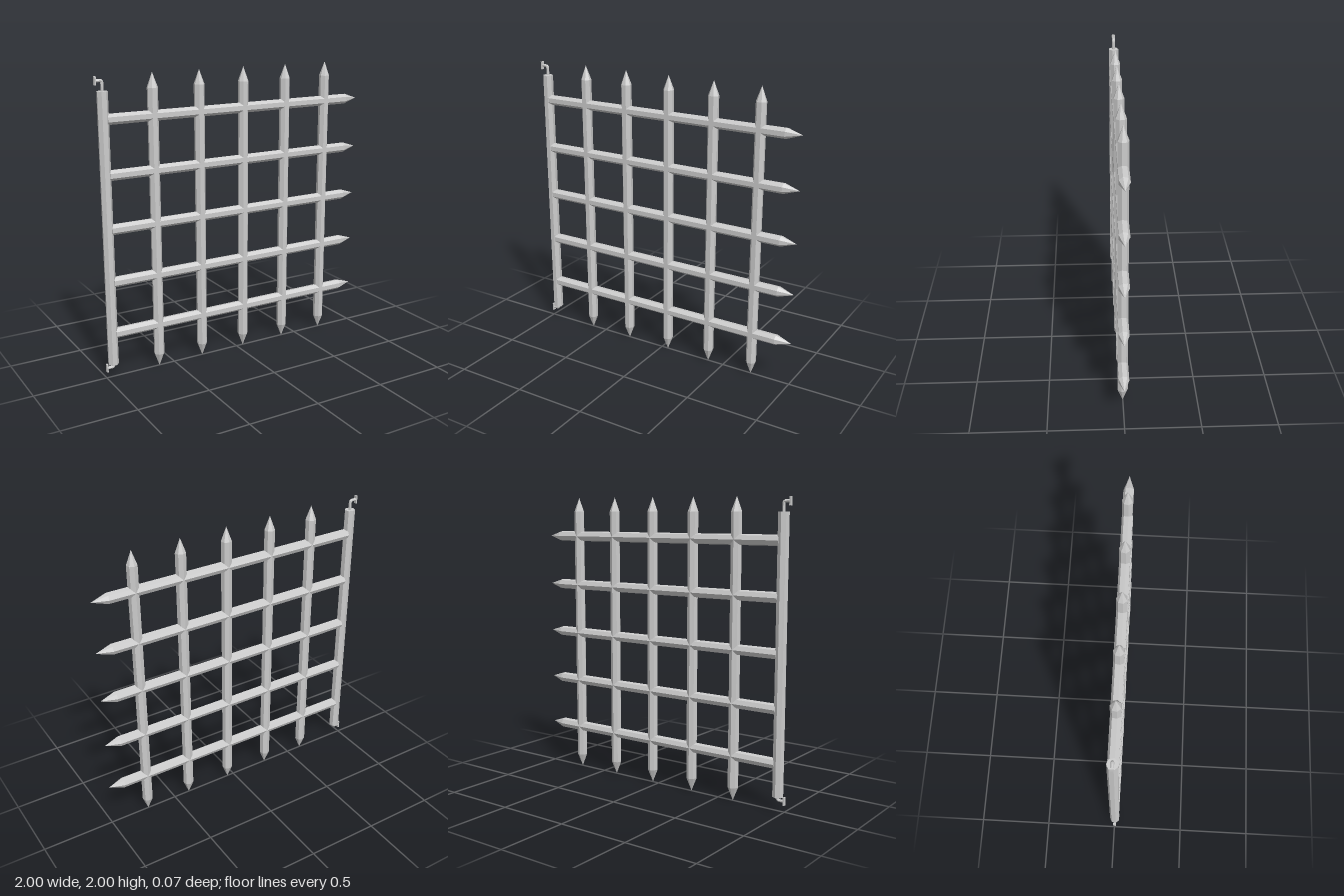
import * as THREE from 'three';

const SIDES = 7;
const R = 0.036;
const material = new THREE.MeshStandardMaterial({ color: 0xcccccc, flatShading: true });

// Lathe-like seven-sided rod along y: flat face to the front, ridge to the back
function rod(name, from, to, rTop = R, rBottom = R) {
  const g = new THREE.CylinderGeometry(rTop, rBottom, to - from, SIDES, 1, false, Math.PI);
  g.translate(0, (from + to) / 2, 0);
  const mesh = new THREE.Mesh(g, material);
  mesh.name = name;
  return mesh;
}

// Hinge pin: elbow out of the post end, finished by a small wall plate
function hinge(name, postEnd, armY) {
  const group = new THREE.Group();
  group.name = name;
  const x = -0.949, z = 0;
  const reach = Math.abs(armY - postEnd);
  const bend = Math.min(0.012, reach / 2);
  const path = new THREE.CurvePath();
  const a = new THREE.Vector3(x, postEnd, z);
  const b = new THREE.Vector3(x, armY - Math.sign(armY - postEnd) * bend, z);
  const corner = new THREE.Vector3(x, armY, z);
  const c = new THREE.Vector3(x - bend, armY, z);
  const d = new THREE.Vector3(-0.99, armY, z);
  path.add(new THREE.LineCurve3(a, b));
  path.add(new THREE.QuadraticBezierCurve3(b, corner, c));
  path.add(new THREE.LineCurve3(c, d));
  const elbow = new THREE.Mesh(new THREE.TubeGeometry(path, 16, 0.01, 8), material);
  elbow.name = 'hingeElbow';
  const plate = new THREE.Mesh(new THREE.BoxGeometry(0.01, 0.054, 0.022), material);
  plate.name = 'hingePlate';
  plate.position.set(-0.995, armY, z);
  group.add(elbow, plate);
  return group;
}

export function createModel() {
  const gate = new THREE.Group();
  gate.name = 'gate';

  // Upright bars, pointed at both ends
  for (let i = 0; i < 5; i++) {
    const bar = new THREE.Group();
    bar.name = 'uprightBar';
    bar.position.x = -0.614 + i * 0.3325;
    bar.add(
      rod('shaft', 0.092, 1.9),
      rod('topSpike', 1.9, 1.997, 0, R),
      rod('bottomSpike', 0, 0.092, R, 0)
    );
    gate.add(bar);
  }

  // Cross bars, pointed at the free end
  for (let i = 0; i < 5; i++) {
    const bar = new THREE.Group();
    bar.name = 'crossBar';
    bar.position.y = 0.308 + i * 0.354;
    bar.rotation.z = -Math.PI / 2;
    bar.add(rod('shaft', -0.93, 0.893), rod('endSpike', 0.893, 1, 0, R));
    gate.add(bar);
  }

  // Hinge post
  const post = rod('hingePost', 0.092, 1.898);
  post.position.x = -0.95;
  gate.add(post);
  gate.add(hinge('topHinge', 1.89, 1.963), hinge('bottomHinge', 0.1, 0.07));

  gate.children.forEach((part) => { part.position.z = 0.0018; });
  return gate;
}
